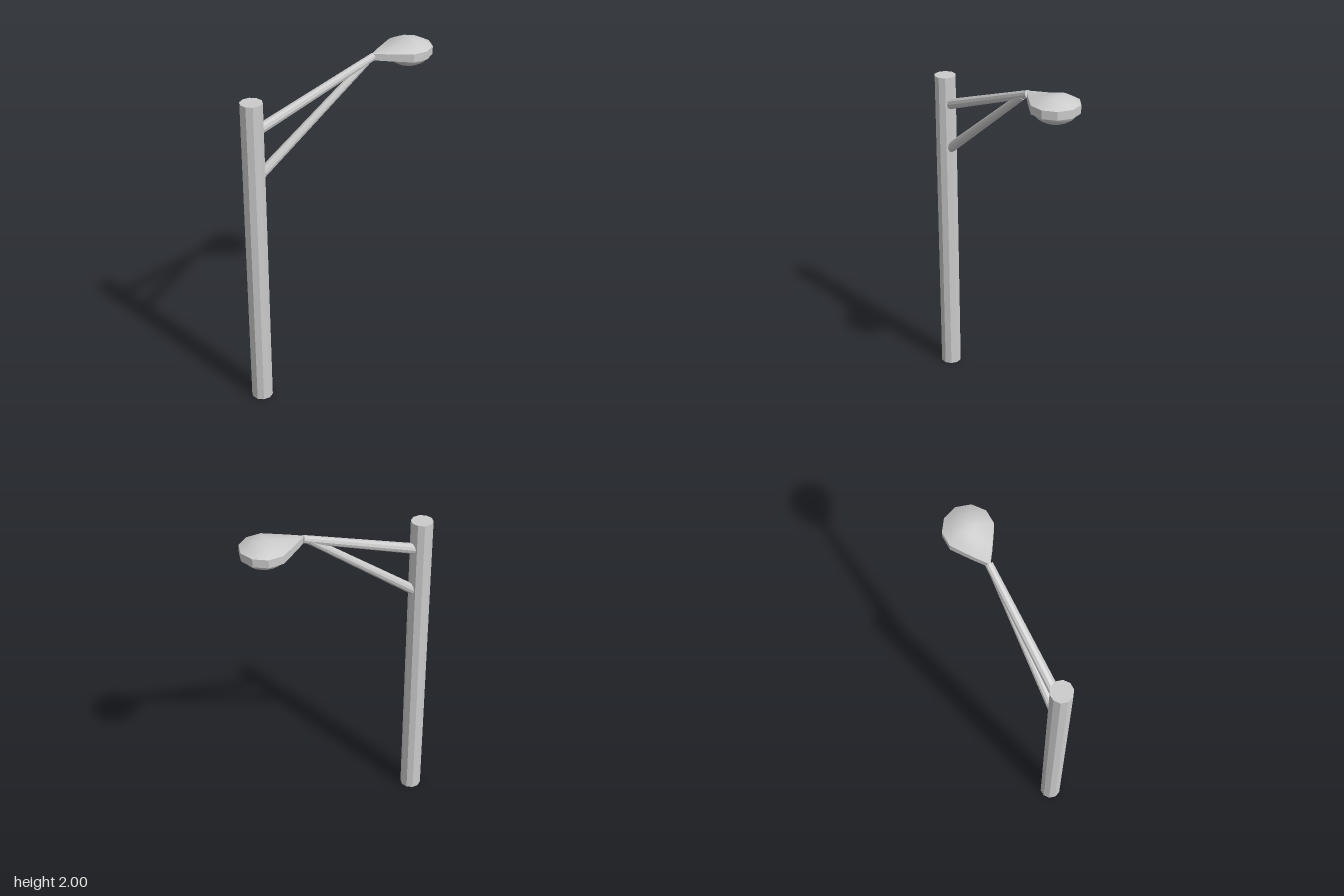
import * as THREE from 'three';
import { toCreasedNormals } from 'three/addons/utils/BufferGeometryUtils.js';

const SIDES = 10;
const HEAD_X = 0.425;
const metal = new THREE.MeshStandardMaterial({ color: 0xcccccc });
const faceted = new THREE.MeshStandardMaterial({ color: 0xcccccc, flatShading: true });

function addMesh(group, name, geometry, material) {
  const mesh = new THREE.Mesh(geometry, material);
  mesh.name = name;
  group.add(mesh);
  return mesh;
}

// Tapered tube between two points in the z = 0 plane
function addArm(group, name, from, to, r0, r1) {
  const a = new THREE.Vector3(from[0], from[1], 0);
  const b = new THREE.Vector3(to[0], to[1], 0);
  const dir = b.clone().sub(a);
  const geometry = new THREE.CylinderGeometry(r1, r0, dir.length(), SIDES);
  const arm = addMesh(group, name, geometry, faceted);
  arm.position.copy(a).add(b).multiplyScalar(0.5);
  arm.quaternion.setFromUnitVectors(new THREE.Vector3(0, 1, 0), dir.normalize());
}

// Teardrop housing: a ten-sided disc drawn out to a point, lofted up to a dome
function housingGeometry() {
  // Ring scale, height, and height towards the drawn-out point
  const rings = [
    [0, 1.915, 1.92], [1, 1.915, 1.92], [1, 1.96, 1.956],
    [0.75, 1.978, 1.963], [0.5, 1.991, 1.974], [0.25, 1.998, 1.988], [0, 2, 2],
  ];
  const positions = [];
  for (const [scale, y, tipY] of rings) {
    for (let i = 0; i < SIDES; i++) {
      const angle = (i / SIDES) * Math.PI * 2;
      let x = 0.13 * Math.cos(angle);
      let z = 0.13 * Math.sin(angle);
      let pull = 0;
      if (i === 4 || i === 6) {
        x = -0.15;
        z = Math.sign(z) * 0.052;
        pull = 0.65;
      } else if (i === 5) {
        x = -0.222;
        z = 0;
        pull = 1;
      }
      positions.push(HEAD_X + x * scale, y + (tipY - y) * pull, z * scale);
    }
  }
  const index = [];
  for (let r = 0; r < rings.length - 1; r++) {
    for (let i = 0; i < SIDES; i++) {
      const a = r * SIDES + i;
      const b = r * SIDES + ((i + 1) % SIDES);
      const c = a + SIDES;
      const d = b + SIDES;
      if (rings[r][0] > 0) index.push(a, c, b);
      if (rings[r + 1][0] > 0) index.push(b, c, d);
      else if (rings[r][0] === 0) index.push(b, c, d);
    }
  }
  const geometry = new THREE.BufferGeometry();
  geometry.setAttribute('position', new THREE.Float32BufferAttribute(positions, 3));
  geometry.setIndex(index);
  return toCreasedNormals(geometry, 0.55);
}

export function createModel() {
  const group = new THREE.Group();
  group.name = 'streetLamp';

  // Upright pole
  const poleGeometry = new THREE.CylinderGeometry(0.06, 0.06, 1.84, SIDES, 1, false, Math.PI / 2);
  const pole = addMesh(group, 'pole', poleGeometry, faceted);
  pole.position.set(-0.497, 0.92, 0);

  // Arm carrying the lamp, and the diagonal brace below it
  addArm(group, 'upperArm', [-0.47, 1.676], [0.215, 1.94], 0.029, 0.021);
  addArm(group, 'brace', [-0.47, 1.411], [0.17, 1.917], 0.028, 0.02);

  // Lamp head
  addMesh(group, 'lampHousing', housingGeometry(), metal);

  // Rounded bowl under the housing
  const profile = [[0, 1.855], [0.035, 1.859], [0.068, 1.869], [0.094, 1.885], [0.109, 1.902], [0.112, 1.916]];
  const bowlGeometry = new THREE.LatheGeometry(
    profile.map(([r, y]) => new THREE.Vector2(r, y)), 20);
  const bowl = addMesh(group, 'lampBowl', bowlGeometry, metal);
  bowl.position.x = HEAD_X + 0.003;

  return group;
}
